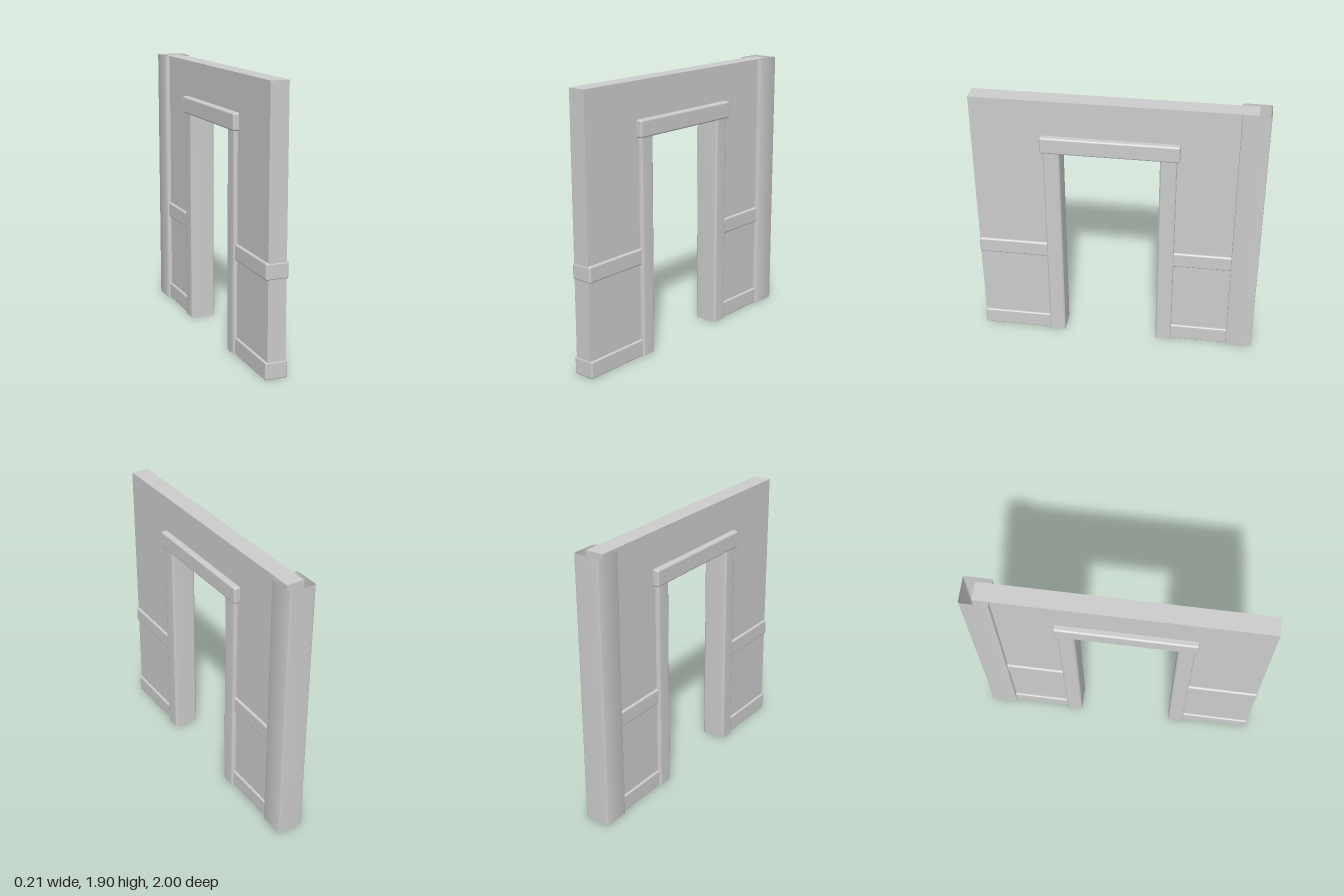
import * as THREE from 'three';
import { toCreasedNormals } from 'three/addons/utils/BufferGeometryUtils.js';
import { RoundedBoxGeometry } from 'three/addons/geometries/RoundedBoxGeometry.js';

const HEIGHT = 1.905;

// Rectangle in the ground plane with rounded corners
function roundedRect(w, d, r) {
  const x = w / 2, y = d / 2, s = new THREE.Shape();
  s.absarc(x - r, y - r, r, 0, Math.PI / 2);
  s.absarc(-x + r, y - r, r, Math.PI / 2, Math.PI);
  s.absarc(-x + r, -y + r, r, Math.PI, Math.PI * 1.5);
  s.absarc(x - r, -y + r, r, Math.PI * 1.5, Math.PI * 2);
  s.closePath();
  return s;
}

// Upright column between two z positions; open columns lose their end caps
function column(w, z0, z1, h, r, open) {
  let geo = new THREE.ExtrudeGeometry(roundedRect(w, z1 - z0, r), { depth: h, bevelEnabled: false, curveSegments: 4 });
  if (open) {
    const sides = geo.groups[1];
    const pos = geo.attributes.position.array.slice(sides.start * 3, (sides.start + sides.count) * 3);
    geo = new THREE.BufferGeometry();
    geo.setAttribute('position', new THREE.BufferAttribute(pos, 3));
  }
  geo.rotateX(-Math.PI / 2);
  geo.translate(0, 0, (z0 + z1) / 2);
  return toCreasedNormals(geo, 0.6);
}

// Horizontal moulding that runs along z
function moulding(w, y0, y1, z0, z1, r) {
  const geo = new RoundedBoxGeometry(w, y1 - y0, z1 - z0, 3, r);
  geo.translate(0, (y0 + y1) / 2, (z0 + z1) / 2);
  return geo;
}

export function createModel() {
  const group = new THREE.Group();
  const plaster = new THREE.MeshStandardMaterial({ color: 0xcccccc });
  plaster.name = 'plain grey';
  plaster.side = THREE.DoubleSide;

  function add(name, geo) {
    const mesh = new THREE.Mesh(geo, plaster);
    mesh.name = name;
    group.add(mesh);
  }

  // Wall slab with a doorway, drawn as (-z, y) and extruded across x
  const outline = new THREE.Shape([
    [-0.997, 0], [-0.45, 0], [-0.45, 1.54], [0.35, 1.54], [0.35, 0],
    [0.92, 0], [0.92, HEIGHT], [-0.997, HEIGHT],
  ].map(([a, y]) => new THREE.Vector2(a, y)));
  const wall = new THREE.ExtrudeGeometry(outline, { depth: 0.126, bevelEnabled: false });
  wall.translate(0, 0, -0.063);
  wall.rotateY(Math.PI / 2);
  add('wall', wall);

  // Hollow post around the rear end of the wall
  add('endPost', column(0.186, -1, -0.81, HEIGHT, 0.01, true));

  // Door frame
  add('frontJamb', column(0.18, 0.39, 0.505, 1.54, 0.015, false));
  add('rearJamb', column(0.18, -0.405, -0.29, 1.54, 0.015, false));
  add('lintel', moulding(0.208, 1.53, 1.65, -0.425, 0.523, 0.014));

  // Skirting and chair rail on each side of the doorway
  for (const [side, z0, z1] of [['front', 0.45, 1], ['rear', -0.92, -0.35]]) {
    add(side + 'Skirting', moulding(0.156, 0, 0.12, z0, z1, 0.01));
    add(side + 'ChairRail', moulding(0.158, 0.66, 0.775, z0, z1, 0.014));
  }
  return group;
}
